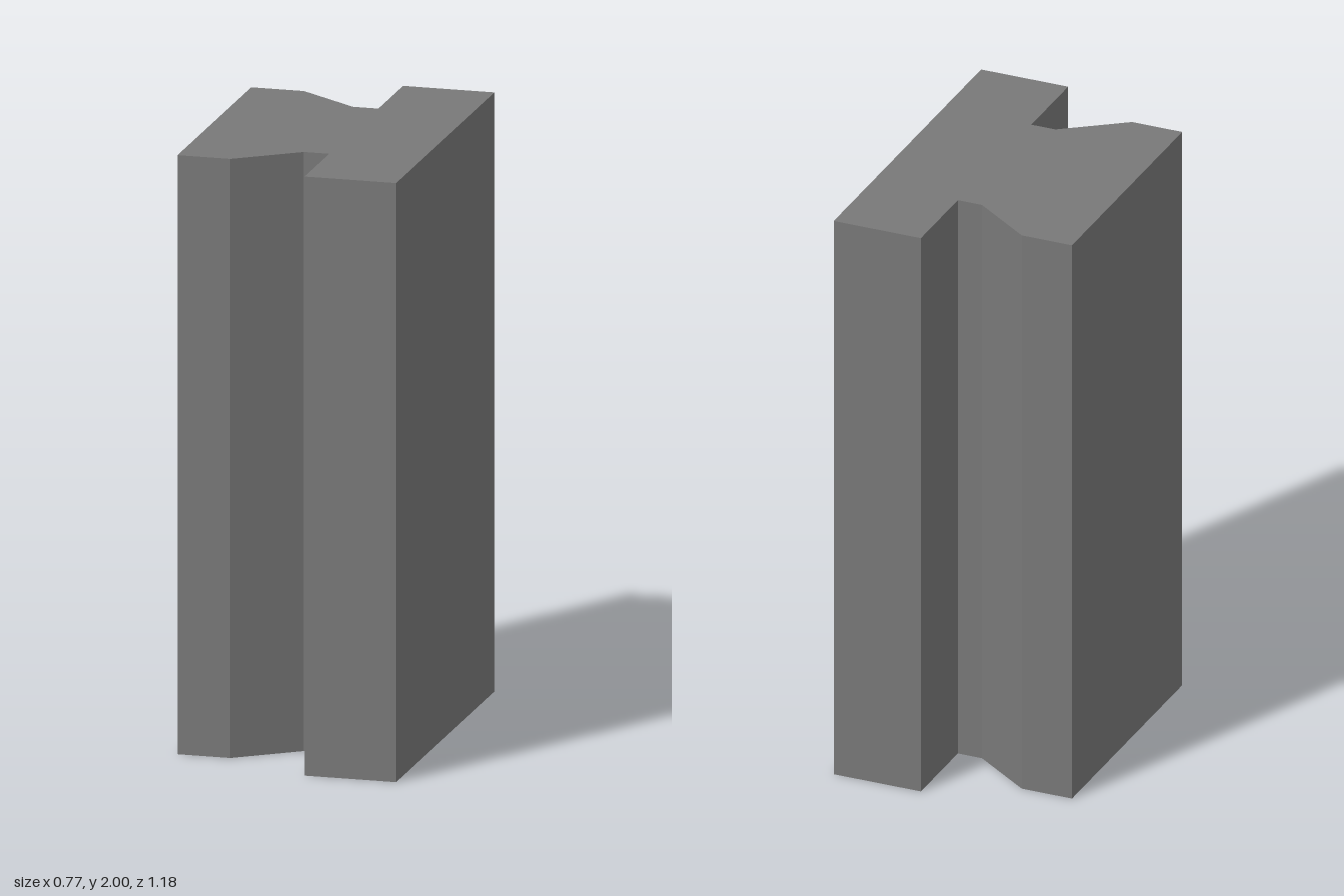
import * as THREE from 'three';

export function createModel() {
  const group = new THREE.Group();

  // Half of the rail cross-section as [x, z]; the other half is mirrored
  const half = [
    [-0.387, 0.443], [-0.21, 0.443], [-0.005, 0.295],
    [0.08, 0.295], [0.08, 0.592], [0.387, 0.592],
  ];
  const mirrored = half.map(([x, z]) => [x, -z]).reverse();
  const outline = [...half, ...mirrored].map(([x, z]) => new THREE.Vector2(x, z));

  // Straight bar standing upright on the ground
  const geometry = new THREE.ExtrudeGeometry(new THREE.Shape(outline), {
    depth: 2,
    bevelEnabled: false,
  });
  geometry.rotateX(-Math.PI / 2);

  const rail = new THREE.Mesh(
    geometry,
    new THREE.MeshStandardMaterial({ color: 0x787878, flatShading: true }),
  );
  rail.name = 'dovetailRail';
  group.add(rail);
  return group;
}
